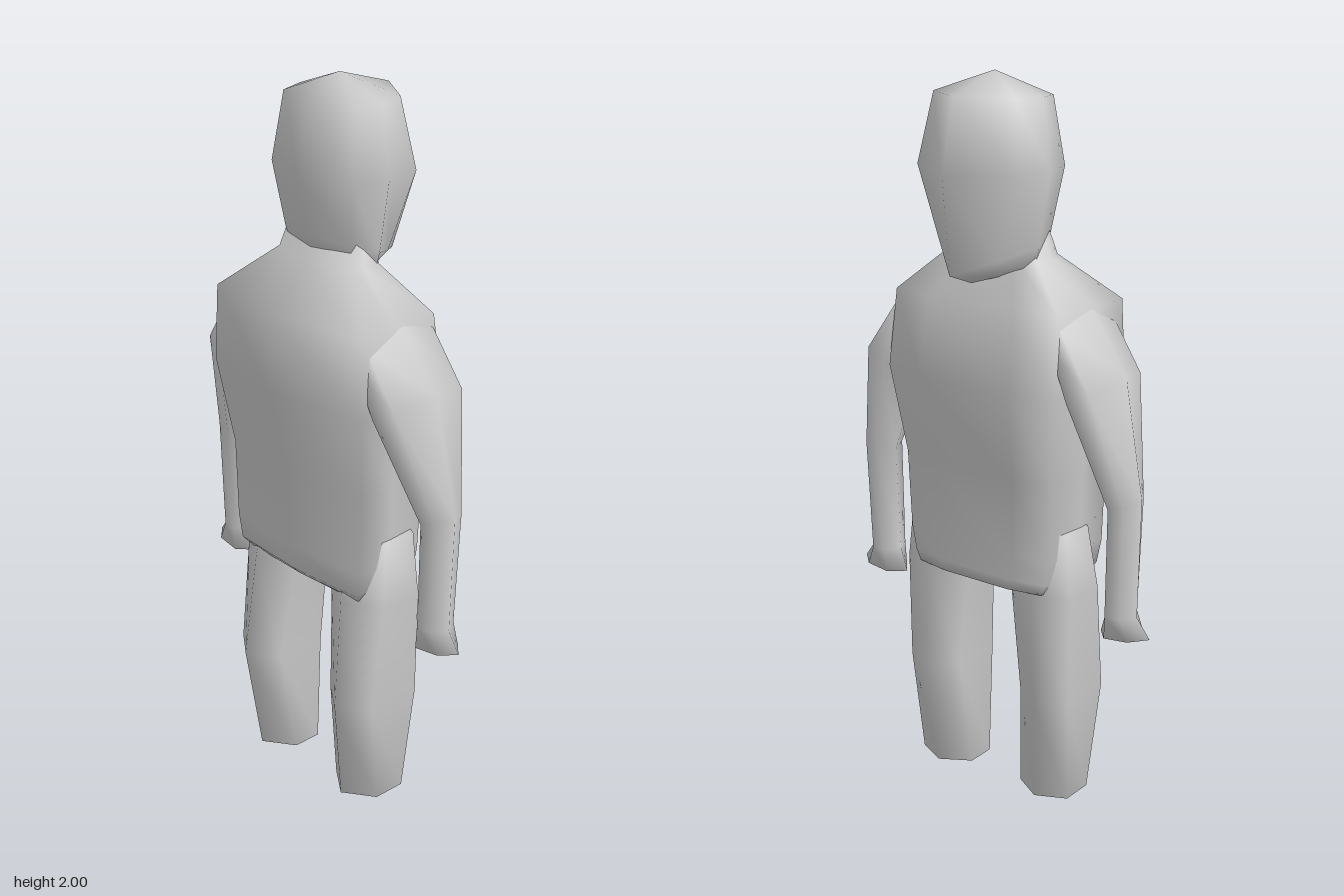
import * as THREE from 'three';

const material = new THREE.MeshStandardMaterial({ color: 0xcccccc, side: THREE.DoubleSide });

// Smooth skin over rings listed from bottom to top, closed at both ends.
function loft(name, rings, topPoint) {
  const n = rings[0].length, last = rings.length - 1;
  const centre = (ring) => [0, 1, 2].map((k) => ring.reduce((s, p) => s + p[k], 0) / n);
  const points = [...rings.flat(), centre(rings[0]), topPoint || centre(rings[last])];
  const bottom = points.length - 2, top = points.length - 1, index = [];
  for (let j = 0; j < n; j++) {
    const k = (j + 1) % n;
    for (let i = 0; i < last; i++) {
      const a = i * n + j, b = i * n + k;
      index.push(a, b, a + n, b, b + n, a + n);
    }
    index.push(bottom, k, j, top, last * n + j, last * n + k);
  }
  const geometry = new THREE.BufferGeometry();
  geometry.setAttribute('position', new THREE.Float32BufferAttribute(points.flat(), 3));
  geometry.setIndex(index);
  geometry.computeVertexNormals();
  const mesh = new THREE.Mesh(geometry, material);
  mesh.name = name;
  return mesh;
}

// Completes a ring given its +x half, from front centre to the back.
function symmetric(half) {
  const mirrored = half.filter((p) => p[0] > 0).map(([x, y, z]) => [-x, y, z]).reverse();
  return [...half, ...mirrored];
}

// Flips a ring to the other side while keeping its winding.
const toSide = (ring, side) =>
  side > 0 ? ring : ring.map(([x, y, z]) => [-x, y, z]).reverse();

// Head section: front and back heights, half width, depth, width at the rear corners
function headRing([yf, yb, w, zf, zb, rear]) {
  const at = (x, z) => [x, THREE.MathUtils.mapLinear(z, zf, zb, yf, yb), z];
  return symmetric([at(0, zf), at(w * 0.86, zf * 0.65), at(w, -0.015), at(rear, zb * 0.54), at(0, zb)]);
}

// Torso section: height, half width, depth, setback of the front and back corners
function torsoRing([y, w, zf, zb, front, back]) {
  return symmetric([[0, y, zf], [w, y, zf - front], [w, y, (zf + zb) / 2],
    [w * 0.95, y, zb + back], [w * 0.5, y, zb]]);
}

// Arm section: outer and inner edge points, depth
function armRing([xo, yo, xi, yi, zf, zb]) {
  const at = (t, z) => [xi + (xo - xi) * t, yi + (yo - yi) * t, z];
  const mid = (zf + zb) / 2;
  return [at(0.25, zf), at(0.72, zf * 0.9), at(1, mid), at(0.72, zb * 0.9), at(0.25, zb), at(0, mid)];
}

// Leg section: height, outer and inner x, depth
function legRing([y, xo, xi, zf, zb]) {
  const xm = (xo + xi) / 2;
  return [[xm, y, zf], [xo, y, zf - 0.06], [xo, y, zb + 0.04],
    [xm, y, zb], [xi, y, zb + 0.05], [xi, y, zf - 0.06]];
}

export function createModel() {
  const model = new THREE.Group();
  model.name = 'figure';

  model.add(loft('head', [
    [1.53, 1.465, 0.13, 0.08, -0.11, 0.06],
    [1.60, 1.50, 0.147, 0.10, -0.20, 0.08],
    [1.76, 1.76, 0.18, 0.13, -0.227, 0.165],
    [1.94, 1.95, 0.157, 0.09, -0.18, 0.13],
  ].map(headRing), [0, 2, -0.01]));

  // Coat with a rolled hem, running up to the neck
  model.add(loft('torso', [
    [0.63, 0.22, 0.13, -0.10, 0.01, 0.02],
    [0.66, 0.235, 0.16, -0.10, 0.015, 0.02],
    [0.73, 0.25, 0.165, -0.10, 0.02, 0.02],
    [0.95, 0.258, 0.18, -0.105, 0.035, 0.02],
    [1.20, 0.29, 0.225, -0.15, 0.045, 0.03],
    [1.41, 0.28, 0.22, -0.115, 0.045, 0.02],
    [1.53, 0.145, 0.10, -0.03, 0.03, 0.01],
    [1.60, 0.13, 0.08, -0.03, 0.03, 0.01],
  ].map(torsoRing)));

  for (const [side, label] of [[1, 'left'], [-1, 'right']]) {
    // Sleeve ending in a flared hand
    model.add(loft(label + 'Arm', [
      [0.495, 0.545, 0.34, 0.53, 0.06, -0.03],
      [0.455, 0.60, 0.36, 0.60, 0.06, -0.035],
      [0.463, 0.93, 0.37, 0.90, 0.065, -0.045],
      [0.40, 1.25, 0.275, 1.18, 0.155, -0.115],
      [0.28, 1.41, 0.23, 1.30, 0.16, -0.10],
    ].map((r) => toSide(armRing(r), side))));

    model.add(loft(label + 'Leg', [
      [0, 0.258, 0.088, 0.14, -0.055],
      [0.31, 0.275, 0.108, 0.18, -0.085],
      [0.62, 0.28, 0.075, 0.145, -0.085],
      [0.80, 0.262, 0.06, 0.12, -0.08],
    ].map((r) => toSide(legRing(r), side))));
  }
  // Seat between the legs
  model.add(loft('seat', [
    [0.625, 0.10, 0.09, -0.06, 0.01, 0.01],
    [0.70, 0.12, 0.09, -0.06, 0.01, 0.01],
  ].map(torsoRing)));
  return model;
}
